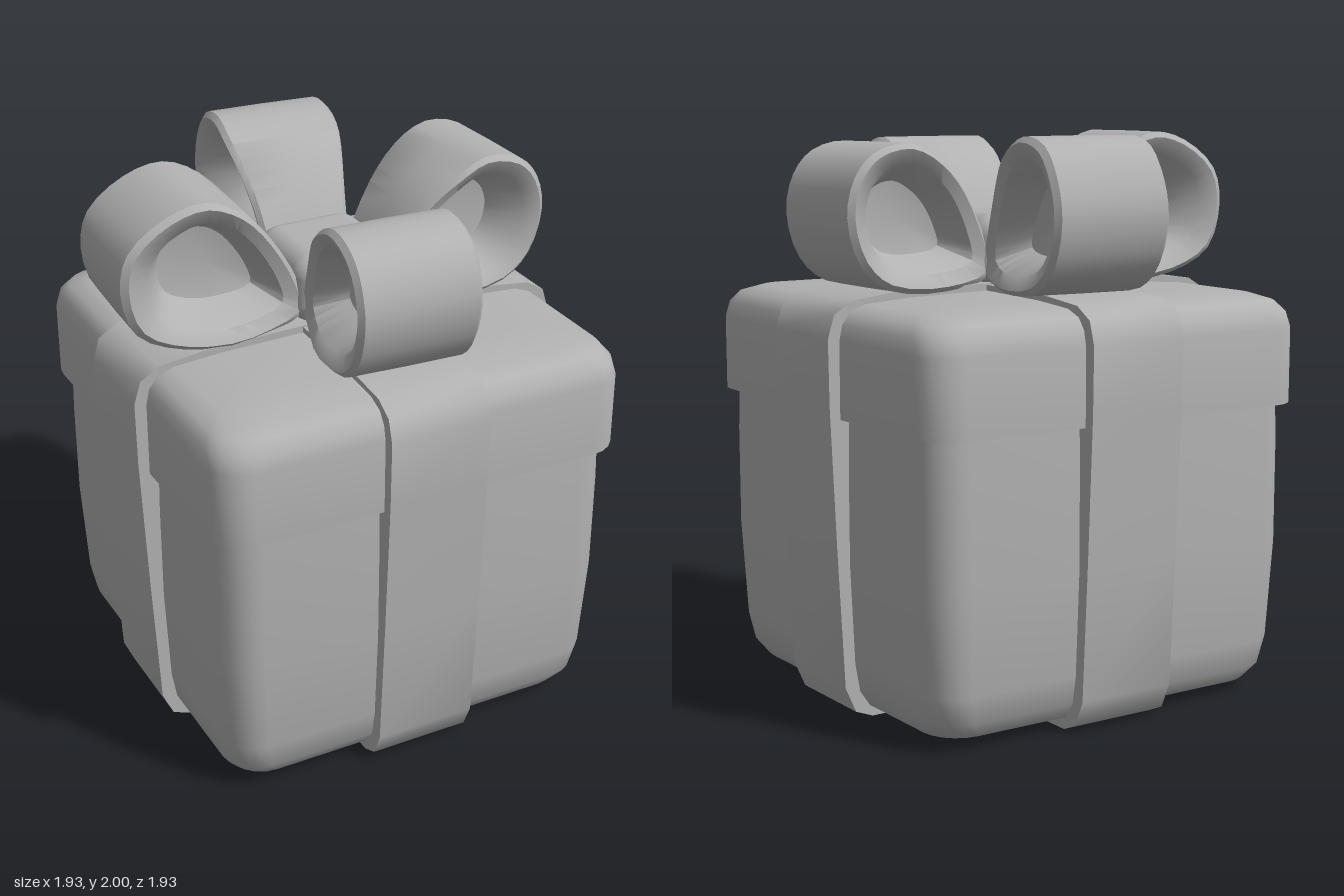
import * as THREE from 'three';
import { toCreasedNormals } from 'three/addons/utils/BufferGeometryUtils.js';
import { RoundedBoxGeometry } from 'three/addons/geometries/RoundedBoxGeometry.js';

const paperGrey = new THREE.MeshStandardMaterial({ color: 0xb2b2b2 });
paperGrey.name = 'paperGrey';

function part(name, geometry, parent) {
  const mesh = new THREE.Mesh(geometry, paperGrey);
  mesh.name = name;
  parent.add(mesh);
  return mesh;
}

// Skin a list of closed rings (arrays of [x, y, z]) with quads
function loft(rings, crease) {
  const n = rings[0].length;
  const index = [];
  for (let i = 0; i < rings.length - 1; i++) {
    for (let j = 0; j < n; j++) {
      const k = (j + 1) % n;
      const a = i * n + j, b = i * n + k, c = b + n, d = a + n;
      index.push(a, d, c, a, c, b);
    }
  }
  const g = new THREE.BufferGeometry();
  g.setAttribute('position', new THREE.Float32BufferAttribute(rings.flat(2), 3));
  g.setIndex(index);
  return toCreasedNormals(g, crease);
}

// Horizontal square ring with rounded corners
function squareRing(half, y, radius = 0.13) {
  const r = Math.min(radius, half);
  const points = [];
  for (let q = 0; q < 4; q++) {
    const cx = (q === 0 || q === 3 ? 1 : -1) * (half - r);
    const cz = (q < 2 ? 1 : -1) * (half - r);
    for (let s = 0; s <= 5; s++) {
      const a = (q + s / 5) * Math.PI / 2;
      points.push([cx + r * Math.cos(a), y, cz + r * Math.sin(a)]);
    }
  }
  return points;
}

const stack = (profile) => loft(profile.map(([h, y]) => squareRing(h, y)), 0.75);

// Ribbon wrapped around the box, following its rounded, tapered outline
function ribbonGeometry(width, lift) {
  const side = [[0.66, lift], [0.725, 0.03], [0.765, 0.12], [0.79, 0.6], [0.812, 1.1],
    [0.815, 1.33], [0.79, 1.41], [0.72, 1.452], [0.55, 1.468 + lift], [0.2, 1.476 + lift]];
  const outline = [...side, ...side.map(([x, y]) => [-x, y]).reverse()];
  const shape = new THREE.Shape(outline.map(([x, y]) => new THREE.Vector2(x, y)));
  const g = new THREE.ExtrudeGeometry(shape, { depth: width, bevelEnabled: false });
  g.translate(0, 0, -width / 2);
  return toCreasedNormals(g, 0.75);
}

// Teardrop bow loop with a thick rim and a hollow pocket on each side
function bowLoopGeometry(reach, top) {
  const outline = [[0.15, 1.51], [0.17, 1.62], [0.27, 1.8], [0.39, top - 0.06], [0.52, top],
    [0.66, top - 0.03], [reach - 0.03, 1.86], [reach, 1.73], [reach - 0.05, 1.57],
    [0.61, 1.485], [0.36, 1.465]];
  const curve = new THREE.CatmullRomCurve3(
    outline.map(([x, y]) => new THREE.Vector3(x, y, 0)), true);
  const points = curve.getPoints(33).slice(0, -1);
  const cx = 0.47, cy = 1.71;
  // Half width: pinched at the knot, full from the middle outwards
  const halfWidth = (x) => 0.16 + 0.06 * THREE.MathUtils.smoothstep(x, 0.15, 0.45);
  // [outline scale, share of half width] from pocket floor to outer edge
  const half = [[0, 0.15], [0.5, 0.25], [0.74, 0.88], [0.93, 1], [1, 0.92]];
  const rings = [...half.map(([s, w]) => [s, -w]), [1.005, 0], ...half.slice().reverse()];
  return loft(rings.map(([s, w]) => points.map((p) => {
    const x = cx + (p.x - cx) * s;
    return [x, Math.min(cy + (p.y - cy) * s, 2), w * halfWidth(x)];
  })), 0.7);
}

export function createModel() {
  const model = new THREE.Group();
  model.name = 'giftBox';
  const gift = new THREE.Group();
  gift.name = 'turnedGift';
  gift.rotation.y = -0.385;
  model.add(gift);

  // Box and overhanging lid
  part('boxBody', stack([[0, 0.04], [0.6, 0.028], [0.67, 0.045], [0.708, 0.1], [0.726, 0.2],
    [0.742, 0.55], [0.742, 0.9], [0.738, 1.1]]), gift);
  part('lid', stack([[0.7, 1.06], [0.772, 1.055], [0.772, 1.32], [0.76, 1.375], [0.73, 1.415],
    [0.67, 1.438], [0.5, 1.45], [0, 1.46]]), gift);

  // Crossed ribbons
  part('ribbonAcross', ribbonGeometry(0.37, 0), gift);
  part('ribbonFrontToBack', ribbonGeometry(0.37, 0.005), gift).rotation.y = Math.PI / 2;

  // Bow: four slightly different loops around a knot
  const bow = new THREE.Group();
  bow.name = 'bow';
  gift.add(bow);
  const loops = [
    ['leftBowLoop', -0.065, 0.765, 1.97],
    ['rightBowLoop', Math.PI - 0.085, 0.77, 1.995],
    ['frontBowLoop', -Math.PI / 2 - 0.05, 0.825, 1.995],
    ['backBowLoop', Math.PI / 2 + 0.03, 0.765, 1.97],
  ];
  for (const [name, angle, reach, top] of loops) {
    part(name, bowLoopGeometry(reach, top), bow).rotation.y = angle;
  }
  part('bowKnot', new RoundedBoxGeometry(0.39, 0.26, 0.39, 4, 0.08), bow).position.y = 1.59;

  return model;
}
